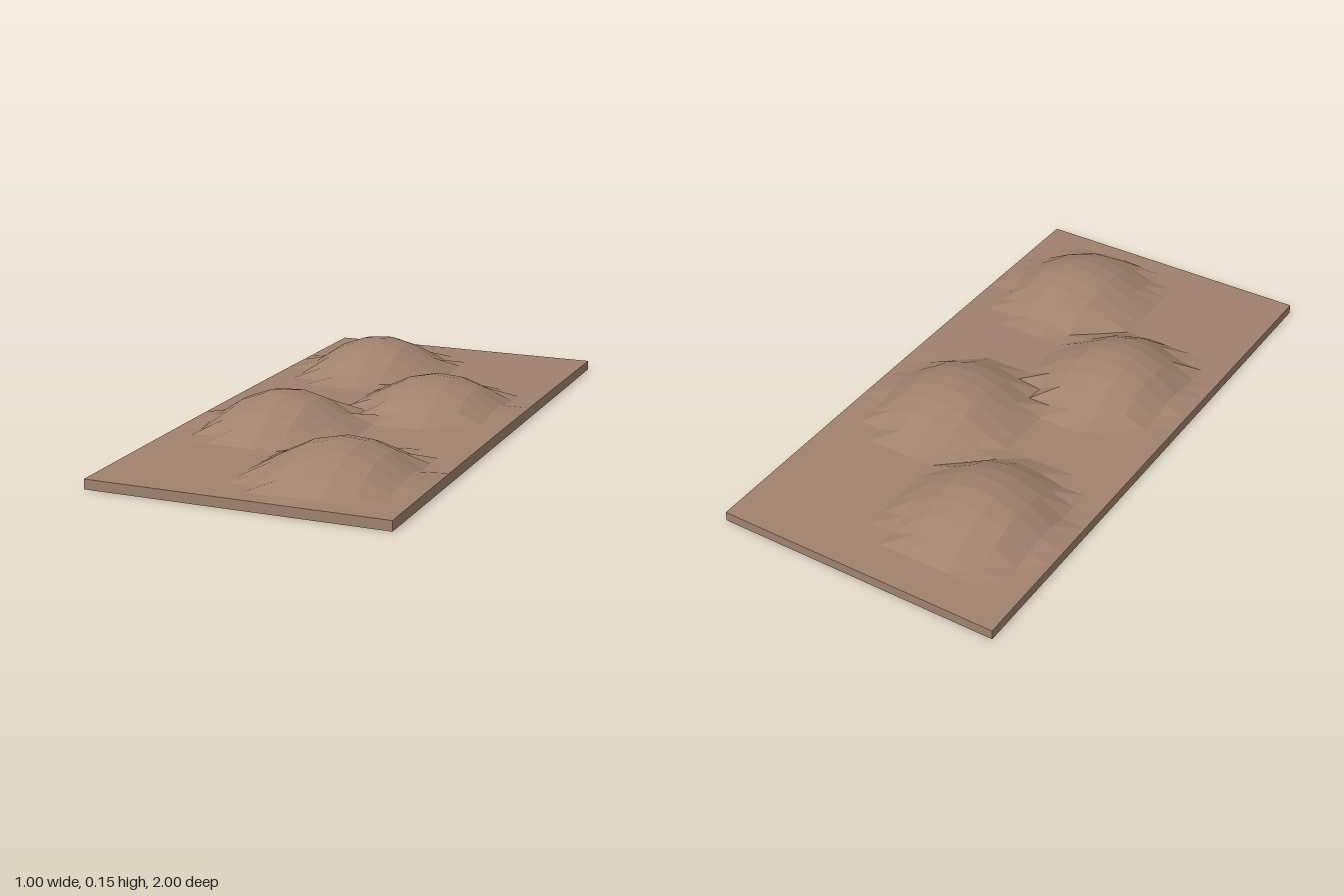
import * as THREE from 'three';

// Mounds: centre x, centre z, height
const MOUNDS = [
  [-0.19, -0.583, 0.115],
  [0.19, -0.167, 0.105],
  [-0.19, 0.245, 0.115],
  [0.19, 0.655, 0.105],
];
const RADIUS_X = 0.25;
const RADIUS_Z = 0.287;

// Nearly flat ground with rounded heaps rising from it
function surfaceHeight(x, z) {
  let rise = 0;
  for (const [cx, cz, h] of MOUNDS) {
    const d = ((x - cx) / RADIUS_X) ** 2 + ((z - cz) / RADIUS_Z) ** 2;
    rise = Math.max(rise, h * (1 - d));
  }
  return 0.033 + 0.004 * Math.cos(z * Math.PI / 2) + rise;
}

export function createModel() {
  const group = new THREE.Group();
  group.name = 'moundedGround';

  const soil = new THREE.MeshStandardMaterial({ color: 0xa0826d, flatShading: true });
  soil.name = 'soil brown';

  // Slab whose top grid is lifted into mounds
  const geometry = new THREE.BoxGeometry(1, 1, 2, 12, 1, 30);
  const pos = geometry.attributes.position;
  for (let i = 0; i < pos.count; i++) {
    pos.setY(i, pos.getY(i) > 0 ? surfaceHeight(pos.getX(i), pos.getZ(i)) : 0);
  }
  geometry.computeVertexNormals();

  const ground = new THREE.Mesh(geometry, soil);
  ground.name = 'groundWithMounds';
  group.add(ground);
  return group;
}
